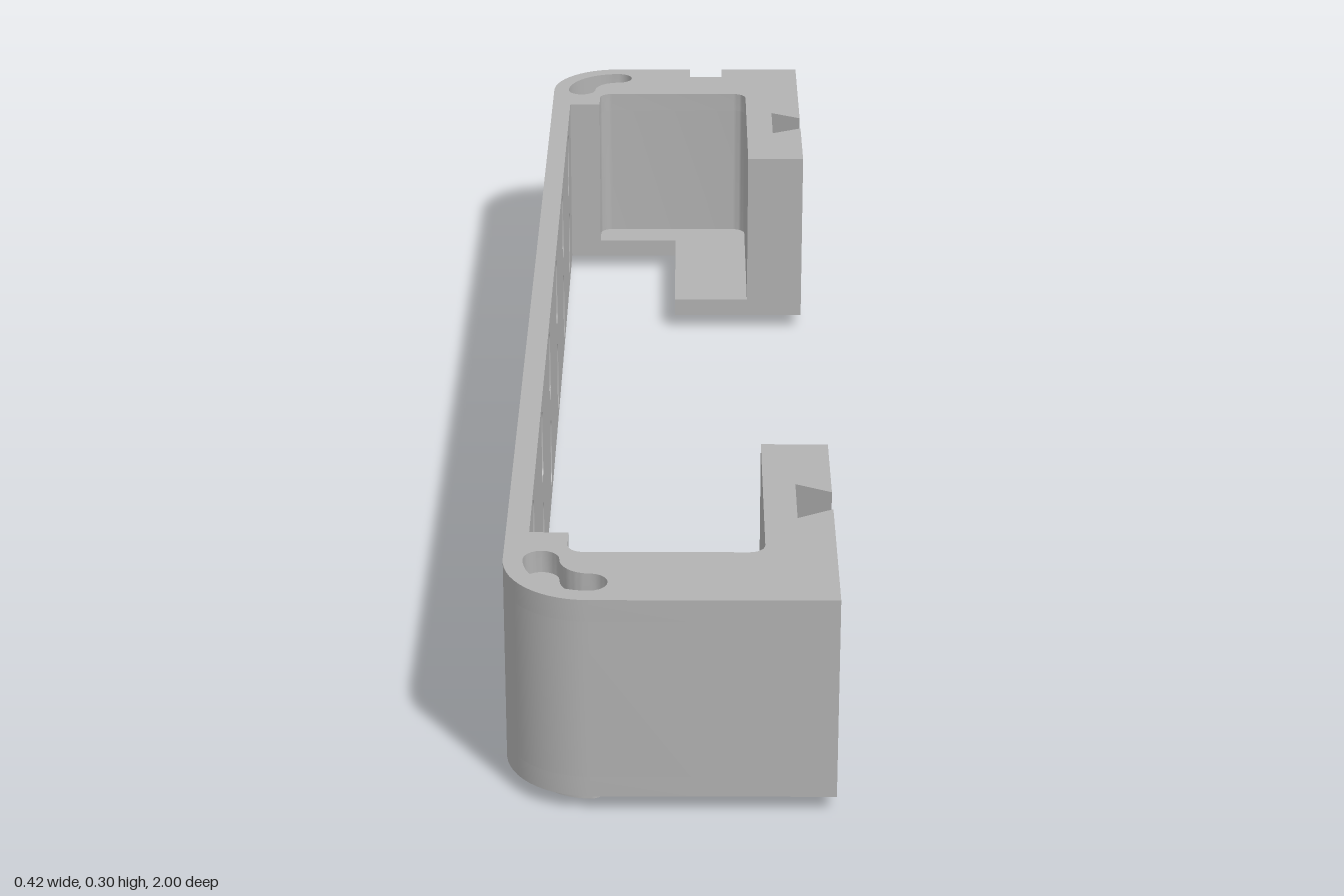
import * as THREE from 'three';
import { toCreasedNormals } from 'three/addons/utils/BufferGeometryUtils.js';

const Y0 = 0.022, FLOOR = 0.05, RECESS = 0.27, TOP = 0.3; // height levels
const CORNER = [-0.1, 0.89];                              // corner arc centre (x, |z|)

// points along an arc, angles in degrees
function arc(cx, cy, r, a0, a1, n = 14) {
  return Array.from({ length: n + 1 }, (_, i) => {
    const a = THREE.MathUtils.degToRad(a0 + (a1 - a0) * i / n);
    return [cx + r * Math.cos(a), cy + r * Math.sin(a)];
  });
}

// curved capsule concentric with the rounded corner
function curvedCapsule(r, w) {
  const [cx, cz] = CORNER;
  return [
    ...arc(cx, cz, r + w, 180, 90),
    ...arc(cx, cz + r, w, 90, -90, 10).slice(1),
    ...arc(cx, cz, r - w, 90, 180).slice(1),
    ...arc(cx - r, cz, w, 0, -180, 10).slice(1, -1),
  ];
}

// extruded prism from an outline and holes given as point lists
function prism(outline, holes, depth) {
  const wind = (pts, cw) => {
    const v = pts.map(([x, y]) => new THREE.Vector2(x, y));
    return THREE.ShapeUtils.isClockWise(v) === cw ? v : v.reverse();
  };
  const shape = new THREE.Shape(wind(outline, false));
  shape.holes = holes.map(h => new THREE.Path(wind(h, true)));
  return new THREE.ExtrudeGeometry(shape, { depth, bevelEnabled: false });
}

export function createModel() {
  const grey = new THREE.MeshStandardMaterial({ color: 0xb2b2b2 });
  const group = new THREE.Group();
  const add = (parent, name, geometry) => {
    const mesh = new THREE.Mesh(toCreasedNormals(geometry, 0.6), grey);
    mesh.name = name;
    parent.add(mesh);
  };

  // long wall with two rows of six slots
  const slots = [];
  for (let i = 0; i < 6; i++) {
    const z = (i - 2.5) * 0.278;
    for (const [a, b] of [[0.04, 0.146], [0.18, 0.286]]) {
      const r = 0.0185;
      slots.push([...arc(z, b - r, r, 0, 180, 10), ...arc(z, a + r, r, 180, 360, 10)]);
    }
  }
  const E = 0.815;
  const wall = prism([[-E, Y0], [E, Y0], [E, TOP], [-E, TOP]], slots, 0.03);
  wall.rotateY(-Math.PI / 2).translate(-0.18, 0, 0);
  add(group, 'slottedWall', wall);

  // hooked end blocks, the back one with dovetail sockets in its end face
  for (const s of [1, -1]) {
    const end = new THREE.Group();
    end.name = s > 0 ? 'frontEnd' : 'backEnd';
    group.add(end);

    const layer = (name, outline, holes, y0, y1) => {
      const flip = pts => pts.map(([x, z]) => [x, -s * z]);
      const g = prism(flip(outline), holes.map(flip), y1 - y0);
      add(end, name, g.rotateX(-Math.PI / 2).translate(0, y0, 0));
    };

    const outer = [[-0.21, E], ...arc(...CORNER, 0.11, 180, 90)];
    if (s < 0) outer.push([-0.02, 1], [-0.02, 0.96], [0.12, 0.96], [0.12, 1]);
    outer.push([0.21, 1]);
    const dovetail = [[0.21, 0.747], [0.163, 0.773], [0.163, 0.673], [0.21, 0.697]];
    const pocket = [
      [0.21, 0.55], [0.12, 0.55],
      ...arc(0.1, 0.85, 0.02, 0, 90, 6), ...arc(-0.11, 0.85, 0.02, 90, 180, 6),
      [-0.13, E],
    ];
    const hook = [...outer, ...dovetail, ...pocket];

    layer('floor', [...outer, [0.21, 0.55], [0, 0.55], [0, E]], [], Y0, FLOOR);
    layer('hookWall', hook, [], FLOOR, RECESS);
    layer('hookRim', hook, [curvedCapsule(0.062, 0.023)], RECESS, TOP);
    layer('curvedPeg', curvedCapsule(0.062, 0.017), [], 0, Y0);

    // end plate with a socket opening at its top and bottom edge
    if (s < 0) {
      const plate = prism([
        [-0.02, Y0], [0.025, Y0], [0.005, Y0 + 0.042], [0.1, Y0 + 0.042], [0.08, Y0], [0.12, Y0],
        [0.12, TOP], [0.08, TOP], [0.1, TOP - 0.042], [0.005, TOP - 0.042], [0.025, TOP], [-0.02, TOP],
      ], [], 0.04);
      add(end, 'socketPlate', plate.translate(0, 0, -1));
    }
  }
  return group;
}
